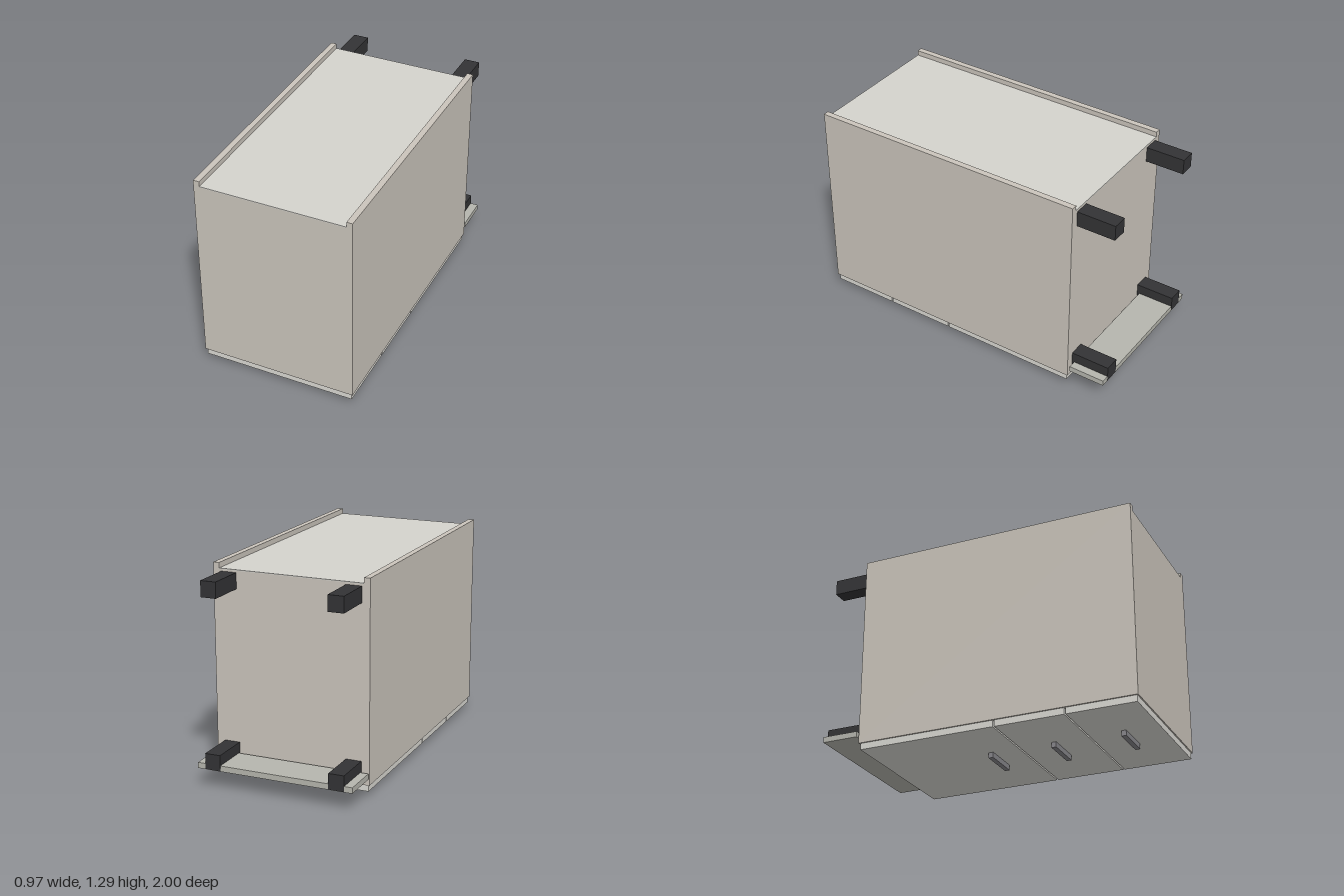
import * as THREE from 'three';

const material = (color) => new THREE.MeshStandardMaterial({ color });

export function createModel() {
  const model = new THREE.Group();
  model.name = 'drawerCabinet';

  const carcassMat = material(0xcbc5bc);
  const backMat = material(0xd4d3cd);
  const drawerMat = material(0xdad9d3);
  const plinthMat = material(0xb6b6ae);
  const legMat = material(0x333335);
  const handleMat = material(0x86858a);

  // Box given by its extents along each axis
  function slab(name, mat, [x0, x1], [y0, y1], [z0, z1], parent = model) {
    const mesh = new THREE.Mesh(new THREE.BoxGeometry(x1 - x0, y1 - y0, z1 - z0), mat);
    mesh.position.set((x0 + x1) / 2, (y0 + y1) / 2, (z0 + z1) / 2);
    mesh.name = name;
    parent.add(mesh);
    return mesh;
  }

  // Carcass: the cabinet lies on its drawer fronts, its worktop facing +z
  const W = 0.487, inner = 0.45;
  const yFront = 0.073, yBack = 1.29, yPanel = 1.252;
  const zBase = -0.755, zTop = 1, board = 0.037;
  const carcass = new THREE.Group();
  carcass.name = 'carcass';
  model.add(carcass);
  slab('leftSide', carcassMat, [inner, W], [yFront, yBack], [zBase, zTop], carcass);
  slab('rightSide', carcassMat, [-W, -inner], [yFront, yBack], [zBase, zTop], carcass);
  slab('worktop', carcassMat, [-inner, inner], [yFront, yPanel], [zTop - board, zTop], carcass);
  slab('basePanel', carcassMat, [-inner, inner], [yFront, yPanel], [zBase, zBase + board], carcass);
  slab('backPanel', backMat, [-inner, inner], [yPanel, yPanel + 0.006], [zBase, zTop], carcass);

  // Drawer fronts, each with a bar handle
  const drawers = [
    { z: [0.567, 0.992], handle: 0.779 },
    { z: [0.128, 0.558], handle: 0.345 },
    { z: [-0.745, 0.118], handle: -0.06 },
  ];
  drawers.forEach(({ z, handle }, i) => {
    const drawer = new THREE.Group();
    drawer.name = `drawer${i + 1}`;
    model.add(drawer);
    slab('drawerFront', drawerMat, [-0.478, 0.478], [0.033, yFront], z, drawer);
    slab('handle', handleMat, [-0.118, 0.118], [0, 0.033], [handle - 0.015, handle + 0.015], drawer);
  });

  // Four square legs under the base
  for (const [row, y0] of [['back', 1.145], ['front', 0.119]]) {
    for (const side of [-1, 1]) {
      const x = side * 0.389;
      slab(`${row}${side > 0 ? 'Left' : 'Right'}Leg`, legMat,
        [x - 0.048, x + 0.048], [y0, y0 + 0.096], [-1, zBase]);
    }
  }

  // Kick board across the front legs
  slab('kickBoard', plinthMat, [-W, W], [0.117, 0.152], [-0.999, -0.77]);

  return model;
}
